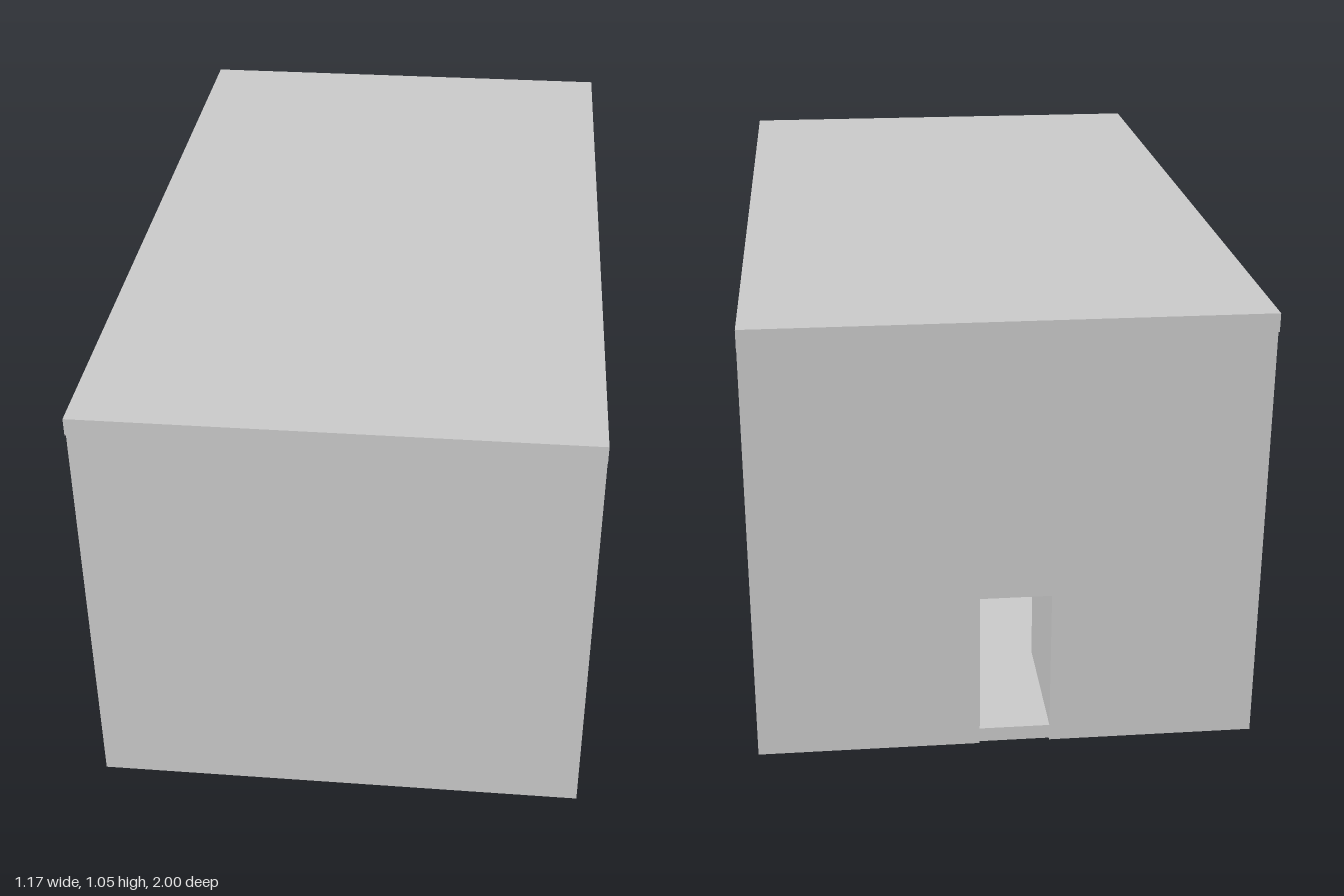
import * as THREE from 'three';

const HALF = 0.583;              // half width of the building
const BACK = -0.99, FRONT = 0.99; // outer faces of the walls
const EAVE = 1.012;              // underside of the roof
const material = new THREE.MeshStandardMaterial({ color: 0xcccccc, flatShading: true });

export function createModel() {
  const group = new THREE.Group();

  const add = (name, geometry) => {
    const mesh = new THREE.Mesh(geometry, material);
    mesh.name = name;
    group.add(mesh);
  };

  // Box given by its limits on each axis
  const box = (name, [x0, x1], [y0, y1], [z0, z1]) => {
    const geometry = new THREE.BoxGeometry(x1 - x0, y1 - y0, z1 - z0);
    geometry.translate((x0 + x1) / 2, (y0 + y1) / 2, (z0 + z1) / 2);
    add(name, geometry);
  };

  const rectangle = (target, x0, x1, z0, z1) => {
    target.moveTo(x0, -z0);
    target.lineTo(x1, -z0);
    target.lineTo(x1, -z1);
    target.lineTo(x0, -z1);
    target.closePath();
    return target;
  };

  // Hollow room running from the ground to the roof, open at the bottom
  const closet = (name, outer, inner) => {
    const shape = rectangle(new THREE.Shape(), ...outer, BACK, -0.655);
    shape.holes.push(rectangle(new THREE.Path(), ...inner, -0.957, -0.72));
    const geometry = new THREE.ExtrudeGeometry(shape, { depth: EAVE, bevelEnabled: false });
    geometry.rotateX(-Math.PI / 2);
    add(name, geometry);
  };

  // Roof, overhanging slightly at front and back
  box('roof', [-HALF, HALF], [EAVE, 1.055], [-1, 1]);

  // Floor of the open room and of the passage to the door
  box('floor', [-HALF, 0.55], [0.005, 0.04], [-0.655, 0.955]);
  box('passageFloor', [-0.1, 0.065], [0.005, 0.04], [BACK, -0.655]);

  // Front and side walls; the other side stays open
  box('frontWall', [-HALF, HALF], [0.005, EAVE], [0.955, FRONT]);
  box('sideWall', [0.55, HALF], [0, EAVE], [-0.655, 0.955]);

  // Two closets at the back with the passage between them
  closet('leftCloset', [0.065, HALF], [0.115, 0.55]);
  closet('rightCloset', [-HALF, -0.1], [-0.54, -0.122]);

  // Wall above the back door
  box('doorLintel', [-0.1, 0.065], [0.385, EAVE], [BACK, -0.955]);

  return group;
}
